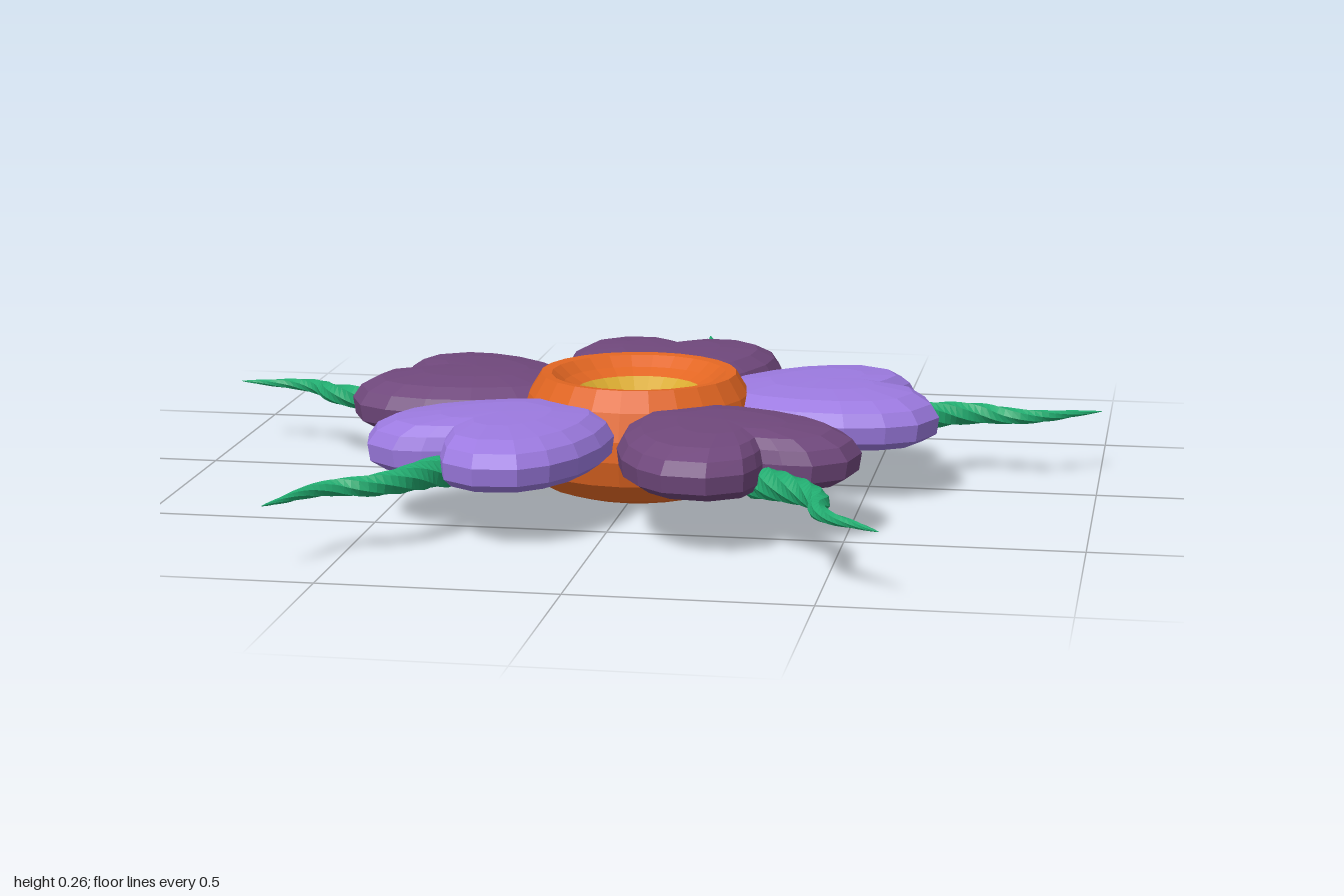
import * as THREE from 'three';

const mat = (name, color) => Object.assign(new THREE.MeshStandardMaterial({ color, flatShading: true }), { name });

// Heart-shaped petal: outline loops stacked from the underside to the domed top
function petalGeometry() {
  const half = [[0.09, 0.165], [0.145, 0.215], [0.205, 0.31], [0.243, 0.41], [0.252, 0.5],
    [0.235, 0.575], [0.165, 0.638], [0.08, 0.642], [0.03, 0.605]];
  const outline = [[0, 0.16], ...half, [0, 0.575], ...half.map(([u, r]) => [-u, r]).reverse()];
  const layers = [[0.86, 0.118], [0.98, 0.138], [1, 0.175], [0.93, 0.203], [0.78, 0.224], [0.45, 0.234]];
  const n = outline.length, midR = 0.41, pos = [], index = [];
  for (const [s, y] of layers) {
    for (const [u, r] of outline) pos.push(u * s, y, -(midR + (r - midR) * s));
  }
  const bottom = pos.length / 3, top = bottom + 1, last = (layers.length - 1) * n;
  pos.push(0, 0.122, -midR, 0, 0.236, -midR);
  for (let j = 0; j < n; j++) {
    const k = (j + 1) % n;
    for (let i = 0; i < layers.length - 1; i++) {
      const a = i * n + j, b = i * n + k;
      index.push(a, b, b + n, a, b + n, a + n);
    }
    index.push(bottom, k, j, top, last + j, last + k);
  }
  const g = new THREE.BufferGeometry();
  g.setAttribute('position', new THREE.Float32BufferAttribute(pos, 3));
  g.setIndex(index);
  g.computeVertexNormals();
  return g;
}

// Wavy tendril: a tube whose rings taper and twist along the path
function tendrilGeometry() {
  const curve = new THREE.CatmullRomCurve3([
    [0, 0.13, -0.52], [-0.012, 0.138, -0.62], [-0.026, 0.14, -0.72], [-0.014, 0.14, -0.79],
    [0.022, 0.14, -0.845], [0.03, 0.14, -0.91], [0.014, 0.14, -0.98], [0, 0.14, -1.051],
  ].map((p) => new THREE.Vector3(...p)));
  const rings = 36, sides = 7;
  const g = new THREE.TubeGeometry(curve, rings, 1, sides);
  const pos = g.attributes.position, v = new THREE.Vector3();
  for (let i = 0; i <= rings; i++) {
    const t = i / rings, centre = curve.getPointAt(t), tangent = curve.getTangentAt(t);
    const radius = i === 0 ? 0 : 0.038 * Math.pow(1 - t, 0.8) + 0.0005;
    for (let j = 0; j <= sides; j++) {
      const k = i * (sides + 1) + j;
      v.fromBufferAttribute(pos, k).sub(centre).applyAxisAngle(tangent, t * 7).multiplyScalar(radius).add(centre);
      pos.setXYZ(k, v.x, v.y, v.z);
    }
  }
  g.computeVertexNormals();
  return g;
}

const lathe = (points) => new THREE.LatheGeometry(points.map((p) => new THREE.Vector2(...p)), 24);

export function createModel() {
  const plum = mat('plum', 0x70487c);
  const lilac = mat('lilac', 0x9c7ae0);
  const orange = mat('orange', 0xe26622);
  const gold = mat('gold', 0xd8aa30);
  const green = mat('green', 0x22ac70);

  const model = new THREE.Group();
  model.name = 'flower';
  const add = (name, geometry, material, angle = 0) => {
    const mesh = new THREE.Mesh(geometry, material);
    mesh.name = name;
    mesh.position.z = 0.1;
    mesh.rotation.y = -angle;
    model.add(mesh);
  };

  // Central cup and its hollow
  add('cup', lathe([[0, 0], [0.16, 0.004], [0.21, 0.02], [0.246, 0.06], [0.262, 0.115], [0.26, 0.16],
    [0.242, 0.22], [0.215, 0.264], [0.192, 0.262], [0.165, 0.24], [0.136, 0.225]]), orange);
  add('cupHollow', lathe([[0.136, 0.225], [0.07, 0.165], [0, 0.125]]), gold);

  // Five petals, each with a tendril emerging below its notch
  const petal = petalGeometry(), tendril = tendrilGeometry();
  for (let i = 0; i < 5; i++) {
    const angle = (i * Math.PI * 2) / 5;
    add('petal' + (i + 1), petal, i % 2 ? lilac : plum, angle);
    add('tendril' + (i + 1), tendril, green, angle);
  }
  return model;
}
